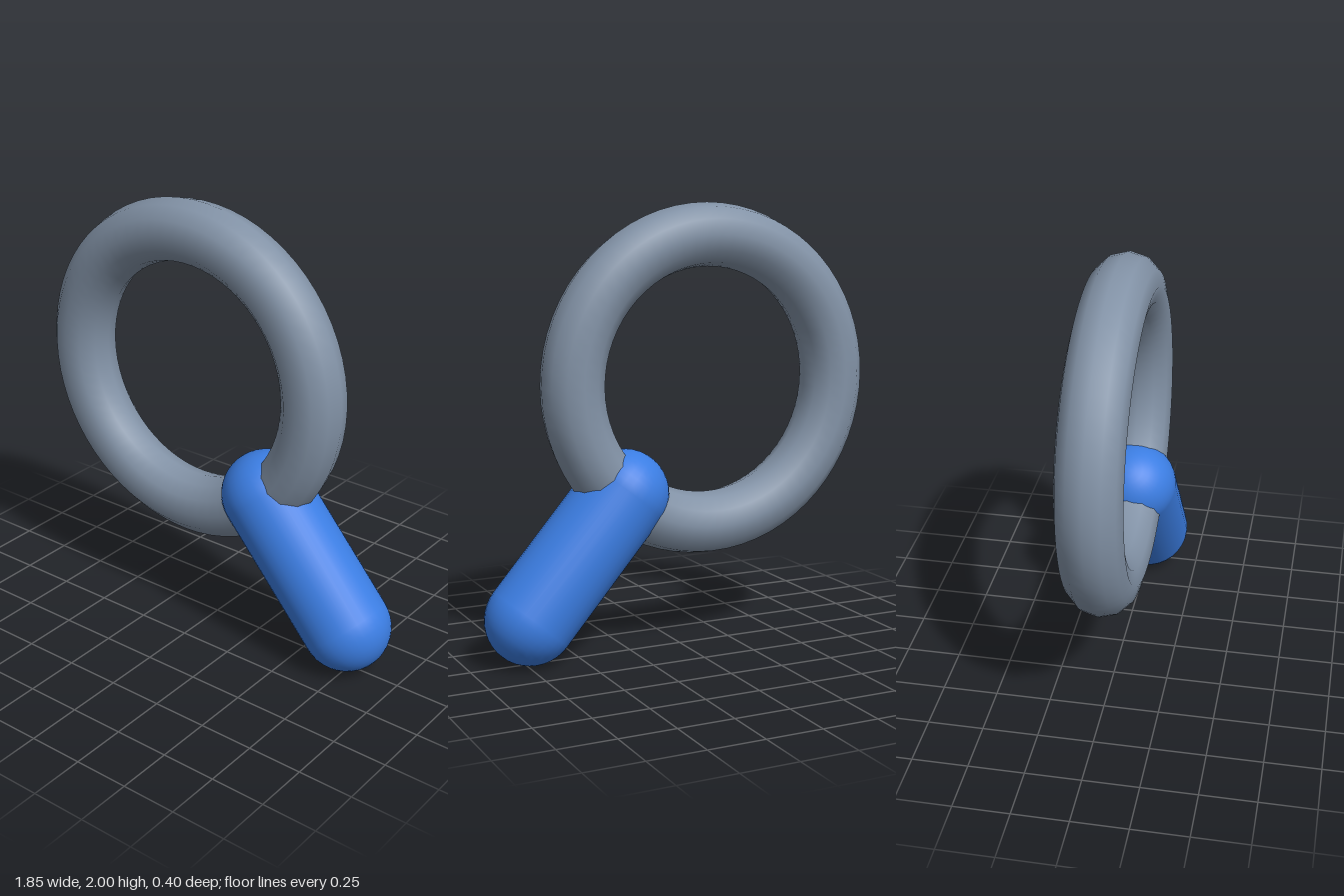
import * as THREE from 'three';

export function createModel() {
  const group = new THREE.Group();
  const steel = new THREE.MeshStandardMaterial({ name: 'greyRing', color: 0x8292a6 });
  const blue = new THREE.MeshStandardMaterial({ name: 'blueHandle', color: 0x3b7de2 });

  const add = (name, geometry, material, x, y) => {
    const mesh = new THREE.Mesh(geometry, material);
    mesh.name = name;
    mesh.position.set(x, y, 0);
    group.add(mesh);
    return mesh;
  };

  // Upright ring
  add('ring', new THREE.TorusGeometry(0.651, 0.142, 12, 64), steel, -0.135, 1.207);

  // Round-ended handle pointing outward from the ring
  const top = new THREE.Vector2(0.275, 0.72);
  const bottom = new THREE.Vector2(0.724, 0.201);
  const radius = 0.201;
  const axis = top.clone().sub(bottom);
  const middle = top.clone().add(bottom).multiplyScalar(0.5);
  const shaft = add('handleShaft',
    new THREE.CylinderGeometry(radius, radius, axis.length(), 32, 1, true), blue, middle.x, middle.y);
  shaft.rotation.z = axis.angle() - Math.PI / 2;

  // Half-sphere ends
  for (const [name, end, turn] of [['handleTopEnd', top, 0], ['handleBottomEnd', bottom, Math.PI]]) {
    const cap = add(name,
      new THREE.SphereGeometry(radius, 32, 10, 0, Math.PI * 2, 0, Math.PI / 2), blue, end.x, end.y);
    cap.rotation.z = shaft.rotation.z + turn;
  }
  return group;
}
